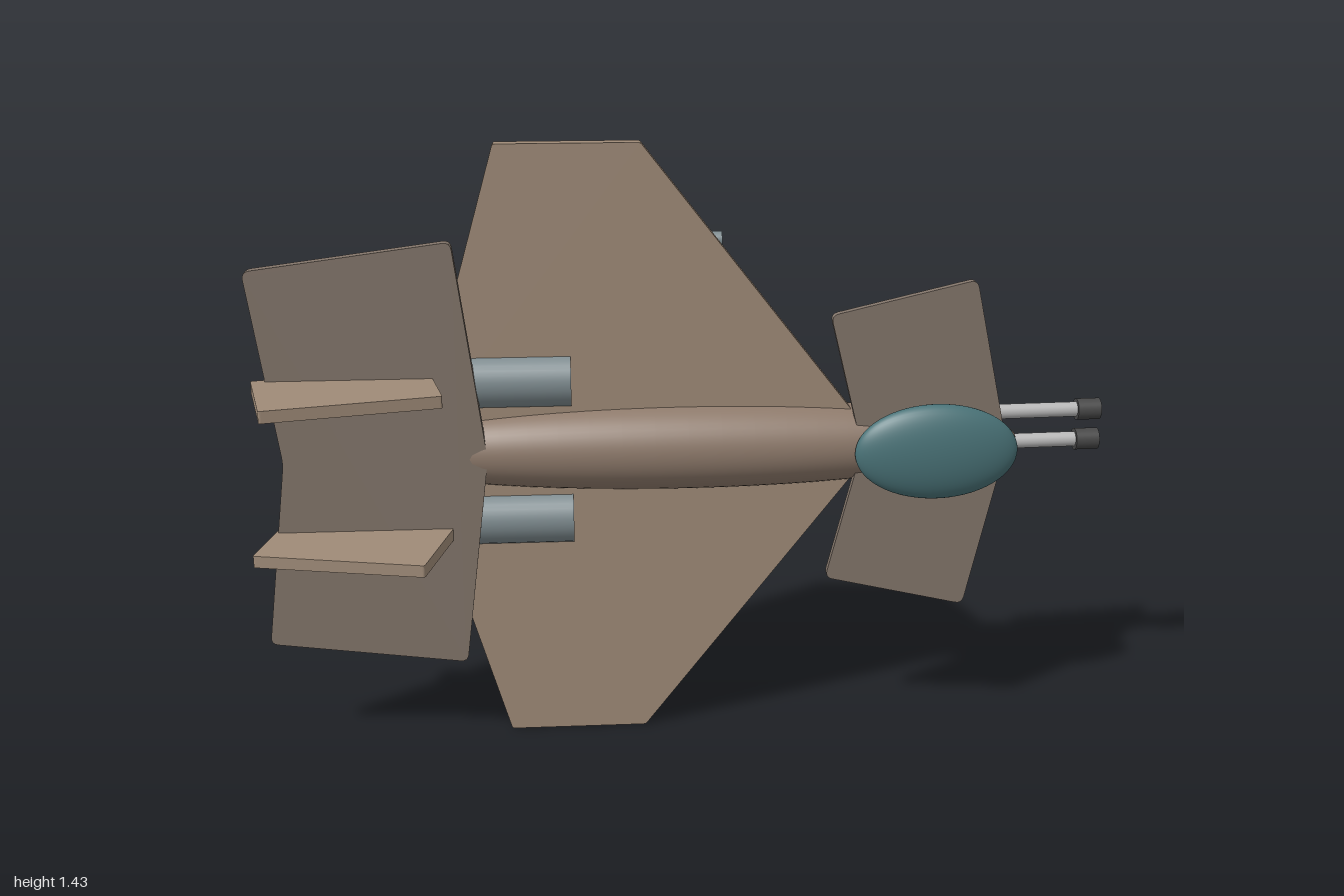
import * as THREE from 'three';

const MID = 0.715;   // height of the centre line
const AXIS_Z = -0.097; // depth of the fuselage axis

const mat = (color) => new THREE.MeshStandardMaterial({ color });
const hullMat = mat(0x8f7b6c);
const wingMat = mat(0x9f8b78);
const plateMat = mat(0x82756a);
const engineMat = mat(0x7f8c90);
const glassMat = mat(0x4a7378);
const barrelMat = mat(0xb8b8b8);
const muzzleMat = mat(0x484848);

// Closed polygon with slightly rounded corners
function roundedShape(points, r) {
  const p = points.map(([x, y]) => new THREE.Vector2(x, y));
  const shape = new THREE.Shape();
  p.forEach((c, i) => {
    const toward = (q) => c.clone().add(q.clone().sub(c).setLength(r));
    const a = toward(p[(i + p.length - 1) % p.length]);
    const b = toward(p[(i + 1) % p.length]);
    if (i === 0) shape.moveTo(a.x, a.y);
    else shape.lineTo(a.x, a.y);
    shape.quadraticCurveTo(c.x, c.y, b.x, b.y);
  });
  shape.closePath();
  return shape;
}

function slab(points, depth, r) {
  const geo = new THREE.ExtrudeGeometry(roundedShape(points, r), { depth, bevelEnabled: false, curveSegments: 4 });
  return geo.translate(0, 0, -depth / 2);
}

// Outline given for one side as [x, distance from centre line], mirrored to the other
function mirrored(half) {
  const other = half.filter(([, d]) => d > 0).map(([x, d]) => [x, -d]).reverse();
  return [...half, ...other];
}

export function createModel() {
  const model = new THREE.Group();
  model.name = 'aircraft';

  const add = (name, geo, material, x = 0, y = 0, z = 0) => {
    const mesh = new THREE.Mesh(geo, material);
    mesh.name = name;
    mesh.position.set(x, y, z);
    model.add(mesh);
    return mesh;
  };

  // Cylinder running along x from x0 to x1
  const rod = (name, material, r, x0, x1, y, z) => {
    const geo = new THREE.CylinderGeometry(r, r, x1 - x0, 32).rotateZ(-Math.PI / 2);
    return add(name, geo, material, (x0 + x1) / 2, y, z);
  };

  const ellipsoid = (name, material, rx, ry, rz, x, z) =>
    add(name, new THREE.SphereGeometry(1, 48, 32).rotateZ(Math.PI / 2).scale(rx, ry, rz), material, x, MID, z);

  // Body and cockpit
  ellipsoid('fuselage', hullMat, 0.787, 0.104, 0.103, -0.012, AXIS_Z);
  ellipsoid('canopy', glassMat, 0.191, 0.115, 0.046, 0.565, 0);

  // Flat lifting surfaces
  const wing = mirrored([[-0.65, 0], [-0.442, 0.715], [-0.115, 0.715], [0.44, 0]]);
  add('wing', slab(wing, 0.035, 0.006), wingMat, 0, MID, -0.087);

  const tail = mirrored([[-0.94, 0], [-1.0, 0.448], [-0.54, 0.508], [-0.475, 0]]);
  add('tailplane', slab(tail, 0.026, 0.018), plateMat, 0, MID, -0.031);

  const canard = mirrored([[0.395, 0], [0.315, 0.322], [0.65, 0.4], [0.738, 0]]);
  add('canard', slab(canard, 0.02, 0.018), plateMat, 0, MID, -0.04);

  // Tail fins, canted in opposite directions and passing through the tailplane
  const fins = [
    ['upperFin', 0.182, [[-0.948, 0.208], [-0.562, 0.122], [-0.612, -0.11], [-1.0, -0.026]]],
    ['lowerFin', -0.182, [[-0.612, 0.208], [-1.0, 0.122], [-0.95, -0.102], [-0.56, -0.02]]],
  ];
  for (const [name, offset, outline] of fins) {
    add(name, slab(outline, 0.028, 0.006).rotateX(Math.PI / 2), wingMat, 0, MID + offset, 0);
  }

  // Engines: one buried in the tail, one on either side
  for (const side of [-1, 0, 1]) {
    rod('engine', engineMat, 0.063, -0.685, -0.28, MID + side * 0.168, -0.09);
  }

  // Paired guns under each wing and twin cannons under the nose
  for (const side of [-1, 1]) {
    for (const offset of [0.424, 0.474]) {
      rod('wingGun', engineMat, 0.019, -0.18, 0.075, MID + side * offset, -0.165);
    }
    const y = MID + side * 0.038;
    rod('cannonBarrel', barrelMat, 0.018, 0.632, 0.96, y, -0.179).rotation.y = 0.04;
    rod('cannonMuzzle', muzzleMat, 0.026, 0.943, 1.0, y, -0.185).rotation.y = 0.04;
  }

  return model;
}
